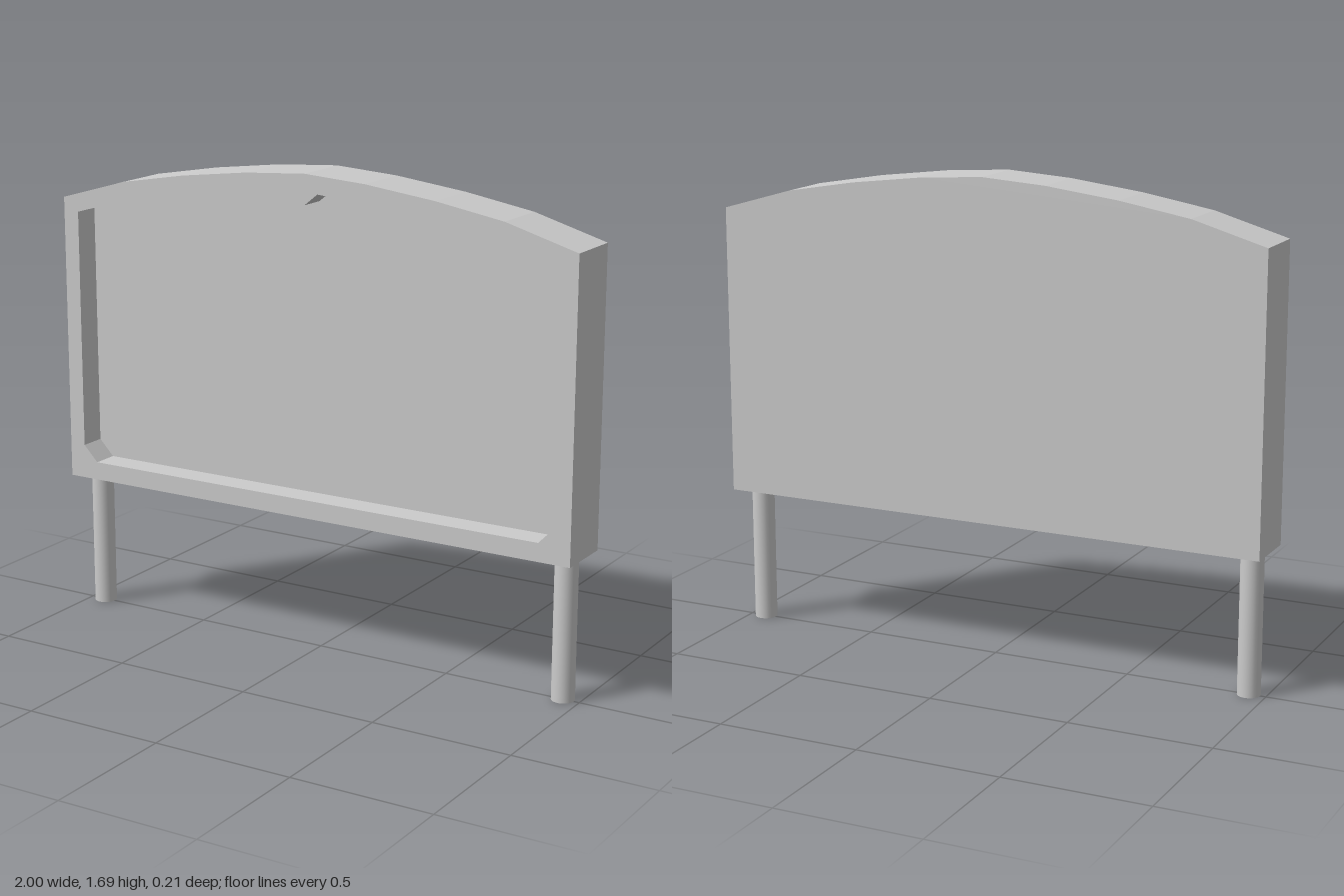
import * as THREE from 'three';

const material = new THREE.MeshStandardMaterial({ color: 0xcccccc });
const HALF_DEPTH = 0.105, RECESS_Z = 0.01;

// Closed symmetric outline from its right half, listed bottom to top
function mirrored(half) {
  const left = half.filter(([x]) => x > 0).reverse().map(([x, y]) => [-x, y]);
  return [...half, ...left].map(([x, y]) => new THREE.Vector2(x, y));
}

function add(group, name, geometry, x = 0, y = 0, z = 0) {
  const mesh = new THREE.Mesh(geometry, material);
  mesh.name = name;
  mesh.position.set(x, y, z);
  group.add(mesh);
  return mesh;
}

// Sheet of paper with one clipped lower left corner
function sheetGeometry(w, h, clip) {
  const a = w / 2, b = h / 2;
  const pts = [[-a + clip, -b], [a, -b], [a, b], [-a, b]];
  if (clip > 0) pts.push([-a, -b + clip]);
  return new THREE.ShapeGeometry(new THREE.Shape(pts.map(p => new THREE.Vector2(...p))));
}

export function createModel() {
  const model = new THREE.Group();
  model.name = 'noticeBoard';

  const outer = mirrored([[1, 0.5], [1, 1.525], [0.74, 1.6], [0.49, 1.643], [0.23, 1.675], [0, 1.69]]);
  const inner = mirrored([[0.885, 0.565], [0.94, 0.622], [0.94, 1.477], [0.73, 1.537],
    [0.48, 1.58], [0.23, 1.61], [0.05, 1.625], [0, 1.585]]);

  // Solid back and the raised rim around the recess
  add(model, 'backPanel', new THREE.ExtrudeGeometry(new THREE.Shape(outer),
    { depth: HALF_DEPTH + RECESS_Z, bevelEnabled: false }), 0, 0, -HALF_DEPTH);
  const rim = new THREE.Shape(outer);
  rim.holes.push(new THREE.Path(inner));
  add(model, 'frame', new THREE.ExtrudeGeometry(rim,
    { depth: HALF_DEPTH - RECESS_Z, bevelEnabled: false }), 0, 0, RECESS_Z);

  // Pinned papers: x, y, width, height, tilt, clipped corner
  const papers = [
    [-0.17, 1.215, 0.28, 0.27, 0, 0.022],
    [-0.055, 1.348, 0.246, 0.267, 0.13, 0],
    [-0.535, 1.167, 0.246, 0.273, -0.38, 0],
    [0.06, 0.785, 0.38, 0.27, 0, 0],
  ];
  papers.forEach(([x, y, w, h, tilt, clip], i) => {
    const paper = add(model, 'paper' + (i + 1), sheetGeometry(w, h, clip), x, y, RECESS_Z + 0.002 + i * 0.001);
    paper.rotation.z = tilt;
  });

  // Round legs
  for (const [name, side] of [['leftLeg', 1], ['rightLeg', -1]]) {
    add(model, name, new THREE.CylinderGeometry(0.04, 0.04, 0.5, 24), side * 0.94, 0.25, 0);
  }
  return model;
}
